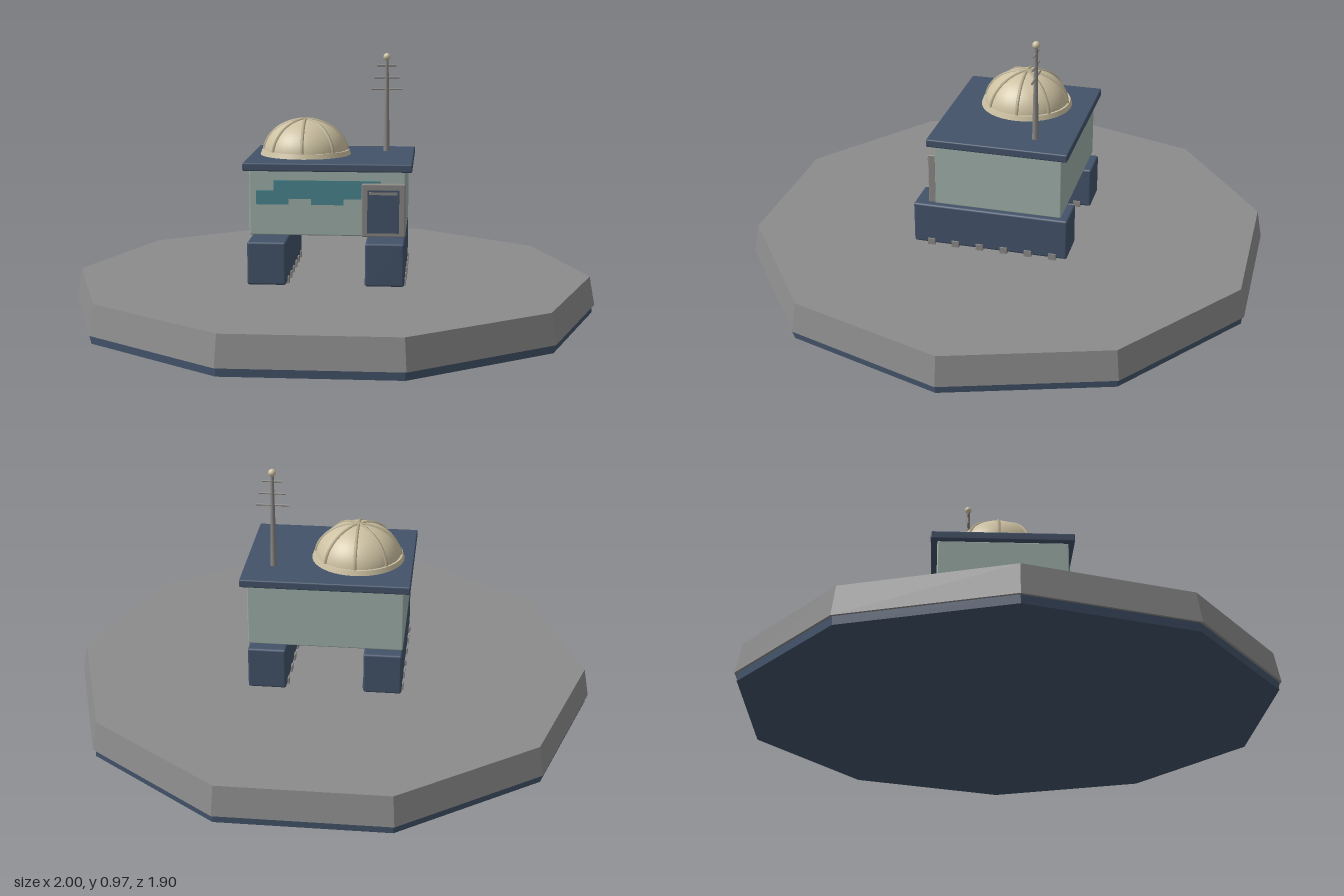
import * as THREE from 'three';
import { RoundedBoxGeometry } from 'three/addons/geometries/RoundedBoxGeometry.js';

const mat = (name, color, flatShading = false) => {
  const m = new THREE.MeshStandardMaterial({ color, flatShading });
  m.name = name;
  return m;
};

export function createModel() {
  const model = new THREE.Group();
  model.name = 'station';
  const navy = mat('navy', 0x43536a);
  const stone = mat('stone', 0x8c8c8c, true);
  const base = mat('baseNavy', 0x43536a, true);
  const wall = mat('paleGreenWall', 0x9fb0aa);
  const cream = mat('cream', 0xcdc1a2);
  const ribTan = mat('ribTan', 0xb5aa8c);
  const teal = mat('teal', 0x4c8791);
  const metal = mat('metal', 0x8b8885);

  const add = (name, geometry, material, x = 0, y = 0, z = 0, parent = model) => {
    const mesh = new THREE.Mesh(geometry, material);
    mesh.name = name;
    mesh.position.set(x, y, z);
    parent.add(mesh);
    return mesh;
  };
  // Box given by its limits on each axis, optionally with softened edges
  const box = (name, material, [x0, x1], [y0, y1], [z0, z1], r = 0) => add(
    name,
    r ? new RoundedBoxGeometry(x1 - x0, y1 - y0, z1 - z0, 2, r)
      : new THREE.BoxGeometry(x1 - x0, y1 - y0, z1 - z0),
    material, (x0 + x1) / 2, (y0 + y1) / 2, (z0 + z1) / 2);

  // Ten-sided ground plate
  const start = Math.PI / 2;
  add('plateBase', new THREE.CylinderGeometry(0.99, 0.99, 0.03, 10, 1, false, start), base, 0, 0.015, 0);
  add('plate', new THREE.CylinderGeometry(0.98, 1, 0.11, 10, 1, false, start), stone, 0, 0.085, 0);

  // Two tracks with cleats underneath
  for (const x of [-0.218, 0.212]) {
    box('track', navy, [x - 0.071, x + 0.071], [0.155, 0.314], [-0.288, 0.3], 0.008);
    for (let i = 0; i < 6; i++) {
      const z = 0.232 - i * 0.093;
      box('cleat', metal, [x - 0.077, x + 0.077], [0.15, 0.174], [z - 0.014, z + 0.014]);
    }
  }

  // Cabin and roof slab
  box('cabin', wall, [-0.29, 0.284], [0.325, 0.567], [-0.264, 0.216], 0.005);
  box('roof', navy, [-0.313, 0.308], [0.565, 0.595], [-0.288, 0.238], 0.005);

  // Stepped window band
  const band = new THREE.Shape([
    [-0.265, 0.44], [-0.145, 0.44], [-0.145, 0.462], [-0.062, 0.462], [-0.062, 0.44],
    [0.057, 0.44], [0.057, 0.462], [0.195, 0.462], [0.195, 0.53], [-0.2, 0.53],
    [-0.2, 0.492], [-0.265, 0.492],
  ].map(([x, y]) => new THREE.Vector2(x, y)));
  add('windowBand', new THREE.ExtrudeGeometry(band, { depth: 0.008, bevelEnabled: false }), teal, 0, 0, 0.212);

  // Door with frame and lintel
  box('doorFrame', metal, [0.125, 0.284], [0.327, 0.522], [0.21, 0.239], 0.004);
  box('doorPanel', navy, [0.146, 0.262], [0.342, 0.5], [0.235, 0.245]);
  box('doorLintel', metal, [0.152, 0.256], [0.484, 0.494], [0.243, 0.249]);

  // Ribbed dome
  const dome = new THREE.Group();
  dome.name = 'dome';
  dome.position.set(-0.105, 0.595, -0.038);
  model.add(dome);
  const flatten = 0.83;
  const shell = add('domeShell', new THREE.SphereGeometry(0.161, 40, 16, 0, Math.PI * 2, 0, Math.PI / 2), cream, 0, 0, 0, dome);
  shell.scale.y = flatten;
  add('domeRing', new THREE.CylinderGeometry(0.167, 0.173, 0.018, 40), cream, 0, 0.009, 0, dome);
  for (let i = 0; i < 4; i++) {
    const rib = add('domeRib', new THREE.TorusGeometry(0.161, 0.0065, 6, 32, Math.PI), ribTan, 0, 0, 0, dome);
    rib.scale.y = flatten;
    rib.rotation.y = i * Math.PI / 4;
  }

  // Antenna mast
  const antenna = new THREE.Group();
  antenna.name = 'antenna';
  antenna.position.set(0.2, 0.595, -0.146);
  model.add(antenna);
  add('mast', new THREE.CylinderGeometry(0.006, 0.012, 0.36, 12), metal, 0, 0.18, 0, antenna);
  add('mastTip', new THREE.SphereGeometry(0.014, 16, 12), cream, 0, 0.365, 0, antenna);
  for (const [y, length] of [[0.24, 0.12], [0.285, 0.096], [0.332, 0.072]]) {
    add('crossbar', new THREE.CylinderGeometry(0.004, 0.004, length, 8), metal, 0, y, 0, antenna).rotation.z = Math.PI / 2;
  }
  return model;
}
